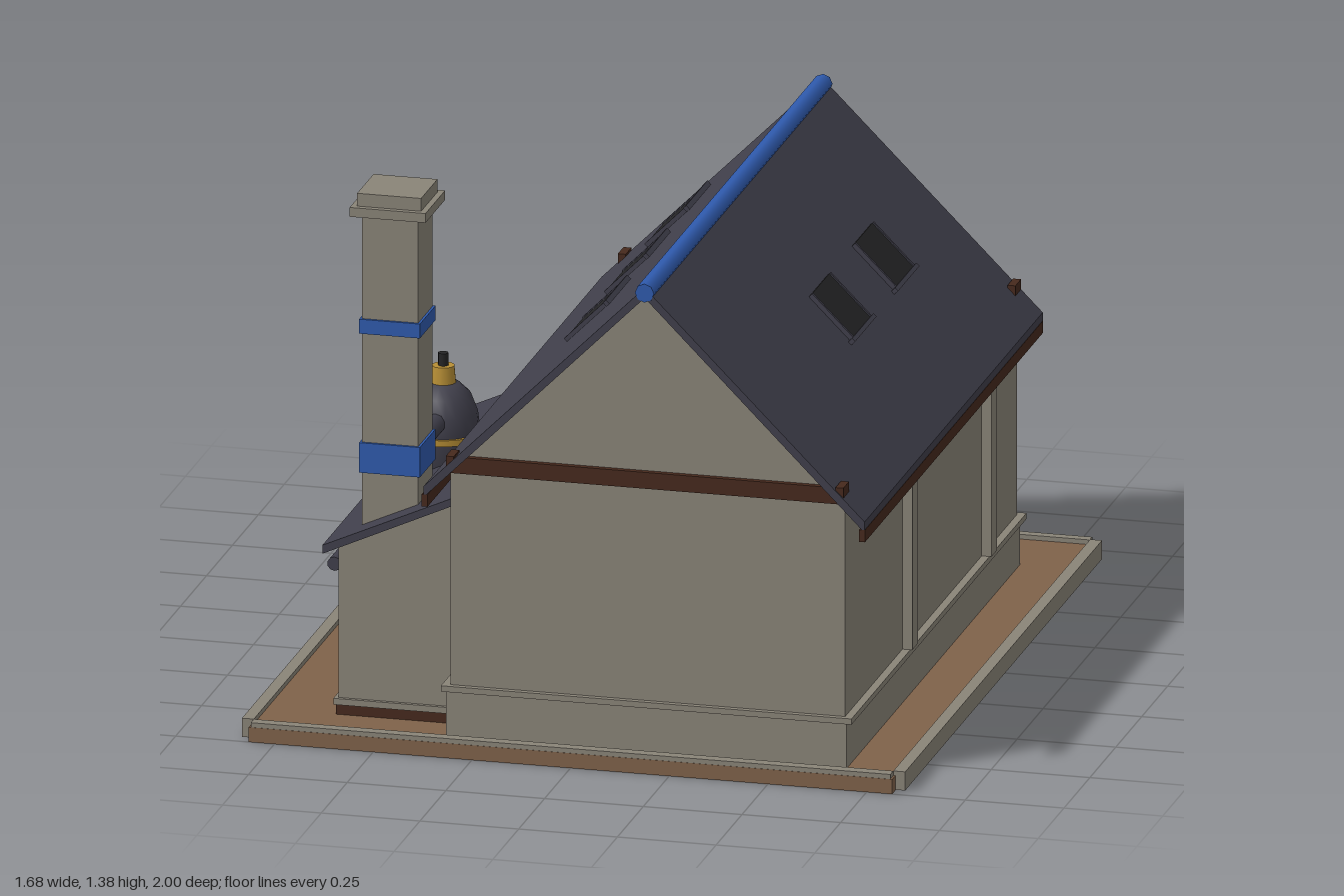
import * as THREE from 'three';

const mat = (name, color) => Object.assign(new THREE.MeshStandardMaterial({ color }), { name });

export function createModel() {
  const root = new THREE.Group();
  root.name = 'workshopHouse';
  const stone = mat('stone', 0x8a8478), slate = mat('slate', 0x403f4b), wood = mat('wood', 0x46291d);
  const blue = mat('blue', 0x2f5aad), gold = mat('gold', 0xb88f35), earth = mat('earth', 0x7f624a);
  const dark = mat('darkGlass', 0x252526), plank = mat('plank', 0x5a3a26);

  const add = (name, geo, m, parent = root) => {
    const mesh = new THREE.Mesh(geo, m);
    mesh.name = name;
    parent.add(mesh);
    return mesh;
  };
  // Box given by its limits on each axis
  const box = (name, m, x0, x1, y0, y1, z0, z1, parent = root) => {
    const mesh = add(name, new THREE.BoxGeometry(x1 - x0, y1 - y0, z1 - z0), m, parent);
    mesh.position.set((x0 + x1) / 2, (y0 + y1) / 2, (z0 + z1) / 2);
    return mesh;
  };
  // Outline in x, y extruded from z0 to z1
  const prism = (name, m, pts, z0, z1) => {
    const shape = pts instanceof THREE.Shape ? pts : new THREE.Shape(pts.map(p => new THREE.Vector2(...p)));
    const geo = new THREE.ExtrudeGeometry(shape, { depth: z1 - z0, bevelEnabled: false, curveSegments: 12 });
    return add(name, geo.translate(0, 0, z0), m);
  };
  // Cylinder lying along z
  const rodZ = (name, m, r, x, y, z0, z1, sides = 10) => {
    const geo = new THREE.CylinderGeometry(r, r, z1 - z0, sides).rotateX(Math.PI / 2);
    return add(name, geo.translate(x, y, (z0 + z1) / 2), m);
  };
  // Square timber between two points on the gable
  const strut = (name, x0, y0, x1, y1, w, z0, z1) => {
    const mesh = add(name, new THREE.BoxGeometry(Math.hypot(x1 - x0, y1 - y0), w, z1 - z0), wood);
    mesh.position.set((x0 + x1) / 2, (y0 + y1) / 2, (z0 + z1) / 2);
    mesh.rotation.z = Math.atan2(y1 - y0, x1 - x0);
  };
  const CX = 0.18;

  // Yard and kerbs
  box('yard', earth, -0.815, 0.815, 0, 0.038, -0.94, 1);
  for (const s of [-1, 1]) box('sideKerb', stone, s < 0 ? -0.84 : 0.81, s < 0 ? -0.81 : 0.84, 0.002, 0.05, -0.93, 0.97);
  box('frontKerb', stone, -0.81, 0.81, 0.03, 0.05, 0.97, 0.999);
  box('backKerb', stone, -0.81, 0.81, 0.002, 0.05, -0.95, -0.925);

  // Main hall with gables, plinth and pilasters
  prism('hallWalls', stone, [[-0.32, 0.03], [0.68, 0.03], [0.68, 0.715], [CX, 1.215], [-0.32, 0.715]], -0.72, 0.94);
  box('plinth', stone, -0.33, 0.685, 0.03, 0.155, -0.73, 0.945);
  box('plinthCap', stone, -0.34, 0.7, 0.155, 0.17, -0.735, 0.955);
  for (const z of [0.36, -0.405]) {
    box('rightPilaster', stone, 0.67, 0.705, 0.17, 0.63, z - 0.027, z + 0.027);
    box('leftPilaster', stone, -0.345, -0.31, 0.17, 0.63, z - 0.027, z + 0.027);
  }

  // Main roof, ridge and eaves
  prism('roof', slate, [[-0.38, 0.685], [-0.38, 0.657], [CX, 1.216], [0.737, 0.657], [0.737, 0.685], [CX, 1.242]], -0.75, 0.97);
  rodZ('ridgeCap', blue, 0.024, CX, 1.229, -0.752, 0.972, 8);
  for (const [a, b] of [[-0.385, -0.37], [0.723, 0.738]]) box('eaveBoard', wood, a, b, 0.633, 0.664, -0.75, 0.97);
  for (const x of [-0.315, 0.672]) for (const z of [-0.75, 0.91]) box('purlinEnd', wood, x - 0.01, x + 0.01, 0.74, 0.766, z, z + 0.055);

  // Skylights lying on both slopes
  const skylight = (side, z) => {
    const g = new THREE.Group();
    g.name = 'skylight';
    box('pane', dark, -0.073, 0.073, -0.01, 0.009, -0.086, 0.086, g);
    for (const s of [-1, 1]) box('paneFrame', slate, -0.073, 0.073, -0.01, 0.012, s * 0.086 - 0.004, s * 0.086 + 0.004, g);
    box('sill', slate, 0.073, 0.084, -0.01, 0.014, -0.103, 0.103, g);
    g.position.set(side > 0 ? 0.46 : -0.11, side > 0 ? 0.962 : 0.952, z);
    g.rotation.z = -side * Math.PI / 4;
    root.add(g);
  };
  [0.165, -0.25].forEach(z => skylight(1, z));
  [0.325, -0.06, -0.45].forEach(z => skylight(-1, z));

  // Front gable beam
  box('frontBeam', wood, -0.32, 0.675, 0.72, 0.762, 0.93, 0.955);

  // Timber framing on the entrance gable
  box('tieBeam', wood, -0.32, 0.68, 0.715, 0.76, -0.745, -0.71);
  box('collarBeam', wood, -0.17, 0.53, 0.86, 0.89, -0.74, -0.71);
  box('kingPost', wood, CX - 0.015, CX + 0.015, 0.99, 1.2, -0.74, -0.71);
  for (const s of [-1, 1]) {
    strut('rafter', CX, 1.2, CX + s * 0.5, 0.7, 0.03, -0.738, -0.71);
    strut('gableBrace', CX + s * 0.01, 1.03, CX + s * 0.1, 1.11, 0.022, -0.737, -0.71);
    box('doorPost', wood, CX + s * 0.24 - 0.025, CX + s * 0.24 + 0.025, 0.17, 0.72, -0.748, -0.71);
  }
  box('hoistBeam', wood, -0.12, -0.07, 0.755, 0.8, -1, -0.7);

  // Louvred vent and crest panel
  box('ventFrame', dark, 0.08, 0.28, 0.89, 0.985, -0.738, -0.71);
  for (let i = 0; i < 4; i++) box('louvre', wood, 0.075, 0.285, 0.893 + i * 0.025, 0.905 + i * 0.025, -0.75, -0.71);
  box('ventHood', wood, 0.065, 0.295, 0.987, 1.003, -0.765, -0.71);
  box('crestPanel', blue, 0.11, 0.25, 0.735, 0.86, -0.752, -0.744);
  [-1, 0, 1].forEach(i => {
    const x = CX + i * 0.03, h = i ? 0.035 : 0.055;
    prism('crestPeak', gold, [[x - 0.015, 0.77], [x + 0.015, 0.77], [x, 0.77 + h]], -0.756, -0.75);
  });

  // Arched doorway: plank leaf, stone ring, kick plate and iron bars
  const arch = r => {
    const s = new THREE.Shape();
    s.moveTo(CX - r, 0.17);
    s.lineTo(CX + r, 0.17);
    s.lineTo(CX + r, 0.42);
    s.absarc(CX, 0.42, r, 0, Math.PI, false);
    s.closePath();
    return s;
  };
  prism('doorLeaf', plank, arch(0.172), -0.728, -0.71);
  const ring = new THREE.Shape();
  ring.absarc(CX, 0.42, 0.21, 0, Math.PI, false);
  ring.absarc(CX, 0.42, 0.172, Math.PI, 0, true);
  prism('doorArch', stone, ring, -0.748, -0.71);
  for (let i = -3; i <= 3; i++) box('plankGap', wood, CX + i * 0.045 - 0.008, CX + i * 0.045 + 0.008, 0.24, 0.575 - Math.abs(i) * 0.018, -0.731, -0.72);
  box('kickPlate', blue, 0.015, 0.345, 0.18, 0.24, -0.736, -0.72);
  for (const x of [0, CX, 0.36]) {
    box('doorBar', slate, x - 0.01, x + 0.01, 0.17, 0.47, -0.742, -0.71);
    box('doorStud', gold, x - 0.008, x + 0.008, 0.335, 0.35, -0.746, -0.74);
  }
  box('doorRail', slate, 0, 0.36, 0.41, 0.43, -0.739, -0.71);

  // Banner on a rod
  box('bannerRod', wood, 0.46, 0.64, 0.612, 0.628, -0.745, -0.72);
  prism('banner', blue, [[0.49, 0.615], [0.49, 0.31], [0.55, 0.28], [0.61, 0.31], [0.61, 0.615]], -0.732, -0.724);
  const shield = (s, name, m, z) => prism(name, m, [[-1, 1], [-1, -0.4], [0, -1.2], [1, -0.4], [1, 1]].map(([x, y]) => [0.55 + x * s, 0.475 + y * s]), z, z + 0.005);
  shield(0.042, 'shieldRim', gold, -0.736);
  shield(0.034, 'shieldFace', dark, -0.739);
  shield(0.015, 'shieldCharge', gold, -0.742);

  // Entrance steps
  [[0.16, -0.76], [0.115, -0.81], [0.075, -0.86]].forEach(([y, z]) => box('step', stone, -0.03, 0.39, 0.03, y, z, -0.7));

  // Lean-to annex
  prism('annexWalls', stone, [[-0.63, 0.03], [-0.31, 0.03], [-0.31, 0.625], [-0.63, 0.472]], -0.1, 0.84);
  box('annexFooting', wood, -0.635, -0.32, 0.03, 0.064, -0.105, 0.845);
  box('annexPlinth', stone, -0.64, -0.32, 0.064, 0.08, -0.11, 0.85);
  prism('annexRoof', slate, [[-0.66, 0.46], [-0.315, 0.617], [-0.315, 0.637], [-0.66, 0.482]], -0.14, 0.88);
  rodZ('gutterPipe', slate, 0.018, -0.648, 0.413, -0.08, 0.81);
  box('wallCabinet', slate, -0.675, -0.62, 0.14, 0.325, 0.27, 0.455);

  // Chimney
  box('chimneyShaft', stone, -0.578, -0.436, 0.45, 1.32, 0.67, 0.808);
  box('chimneyCollar', stone, -0.603, -0.411, 1.318, 1.342, 0.643, 0.833);
  box('chimneyCap', stone, -0.588, -0.426, 1.342, 1.375, 0.66, 0.818);
  for (const [a, b] of [[0.655, 0.732], [1.013, 1.05]]) box('chimneyBand', blue, -0.584, -0.43, a, b, 0.663, 0.815);

  // Boiler tank with dome, ring, valve and flue
  const profile = [[0.001, 0.46], [0.09, 0.46], [0.09, 0.64], [0.085, 0.68], [0.068, 0.725], [0.04, 0.752], [0.001, 0.762]];
  const place = (name, geo, m, y) => add(name, geo, m).position.set(-0.49, y, 0.36);
  place('boilerTank', new THREE.LatheGeometry(profile.map(p => new THREE.Vector2(...p)), 20), slate, 0);
  place('boilerRing', new THREE.CylinderGeometry(0.098, 0.098, 0.016, 20), gold, 0.625);
  place('valveBase', new THREE.CylinderGeometry(0.028, 0.032, 0.045, 12), gold, 0.775);
  place('valveStem', new THREE.CylinderGeometry(0.013, 0.013, 0.035, 8), dark, 0.812);
  rodZ('flue', slate, 0.026, -0.49, 0.67, 0.42, 0.68);
  return root;
}
